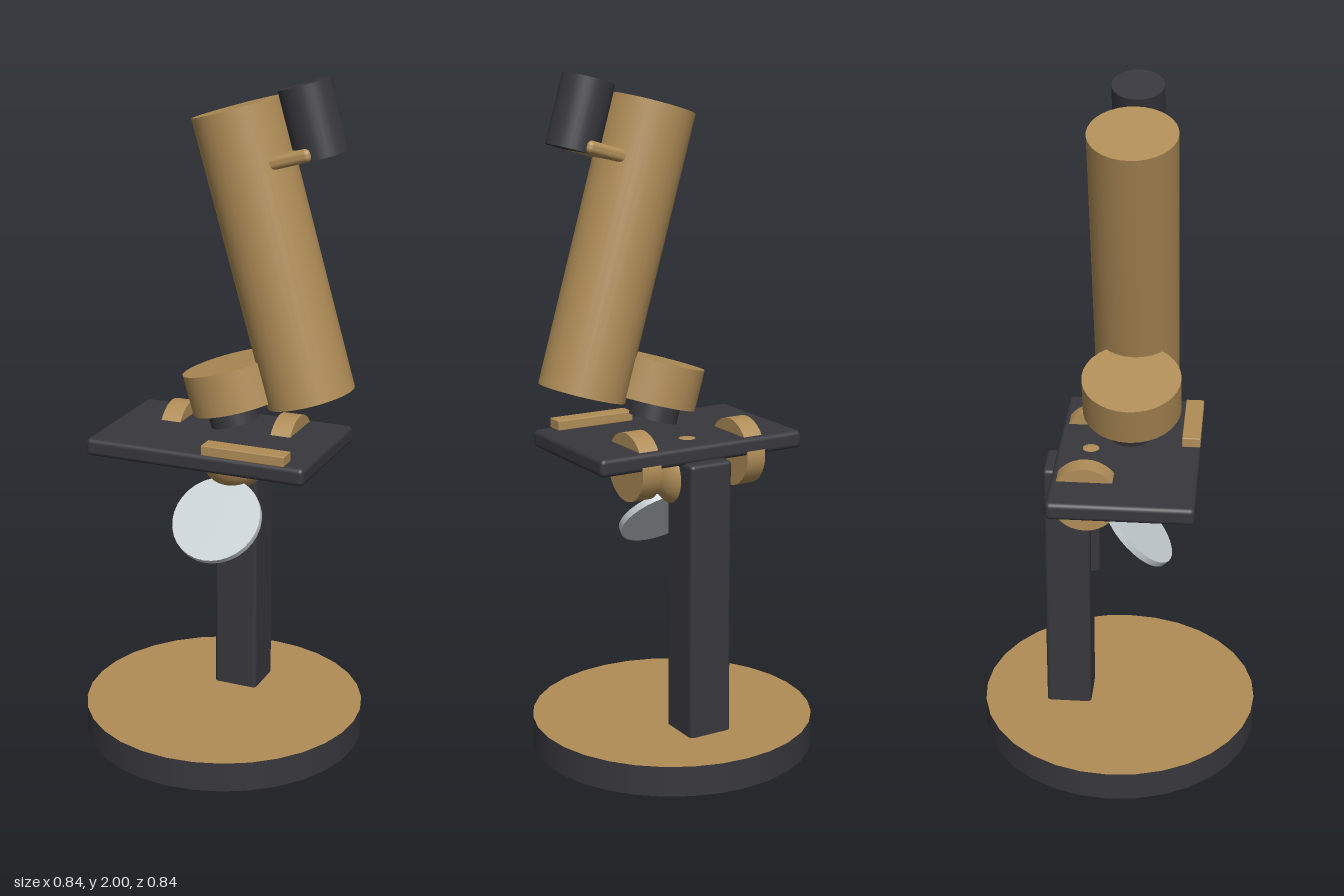
import * as THREE from 'three';
import { RoundedBoxGeometry } from 'three/addons/geometries/RoundedBoxGeometry.js';

function material(name, color) {
  const m = new THREE.MeshStandardMaterial({ color });
  m.name = name;
  return m;
}

export function createModel() {
  const brass = material('brass', 0xb08d57);
  const iron = material('dark iron', 0x38373d);
  const glass = material('mirror silver', 0xc6ced2);

  const model = new THREE.Group();
  model.name = 'microscope';

  function add(parent, name, geometry, mat, x, y, z) {
    const mesh = new THREE.Mesh(geometry, mat);
    mesh.name = name;
    mesh.position.set(x, y, z);
    parent.add(mesh);
    return mesh;
  }
  const cylinder = (r, h) => new THREE.CylinderGeometry(r, r, h, 32);
  const box = (w, h, d, r) => new RoundedBoxGeometry(w, h, d, 3, r);

  // Round foot: dark rim and underside, brass top
  add(model, 'base', cylinder(0.42, 0.09), [iron, brass, iron], 0, 0.045, 0);

  // Pillar with the narrow mirror bracket on its front
  add(model, 'pillar', box(0.136, 0.84, 0.137, 0.012), iron, 0, 0.49, -0.153);
  add(model, 'mirrorBracket', box(0.06, 0.31, 0.04, 0.012), iron, 0, 0.695, -0.078);

  // Tilted mirror
  const mirror = add(model, 'mirror', cylinder(0.135, 0.02), glass, 0, 0.69, 0.055);
  mirror.rotation.x = Math.PI / 4;

  // Stage, its joint and the brass plate along the front edge
  add(model, 'stage', box(0.67, 0.052, 0.418, 0.014), iron, 0, 0.929, 0.026);
  add(model, 'stageJoint', new THREE.SphereGeometry(0.105, 32, 24), brass, 0, 0.853, -0.085);
  add(model, 'stagePlate', box(0.25, 0.03, 0.054, 0.003), brass, 0.153, 0.969, 0.207);

  // Focus wheels on both sides
  for (const side of [-1, 1]) {
    const wheel = add(model, side > 0 ? 'leftFocusWheel' : 'rightFocusWheel',
      cylinder(0.1, 0.061), brass, side * 0.174, 0.896, -0.085);
    wheel.rotation.z = Math.PI / 2;
  }

  // Optical head, leaning as one unit
  const head = new THREE.Group();
  head.name = 'opticalHead';
  head.position.set(0.164, 1.5, 0.03);
  head.rotation.z = 0.281;
  model.add(head);

  add(head, 'bodyTube', cylinder(0.127, 0.838), brass, 0, 0, 0);
  add(head, 'nosepiece', cylinder(0.145, 0.121), brass, -0.215, -0.34, 0);
  add(head, 'objective', cylinder(0.071, 0.075), iron, -0.252, -0.4155, 0);
  add(head, 'eyepieceArm', box(0.16, 0.037, 0.174, 0.015), brass, 0.13, 0.252, 0);
  add(head, 'eyepiece', cylinder(0.075, 0.2), iron, 0.212, 0.334, 0);

  return model;
}
